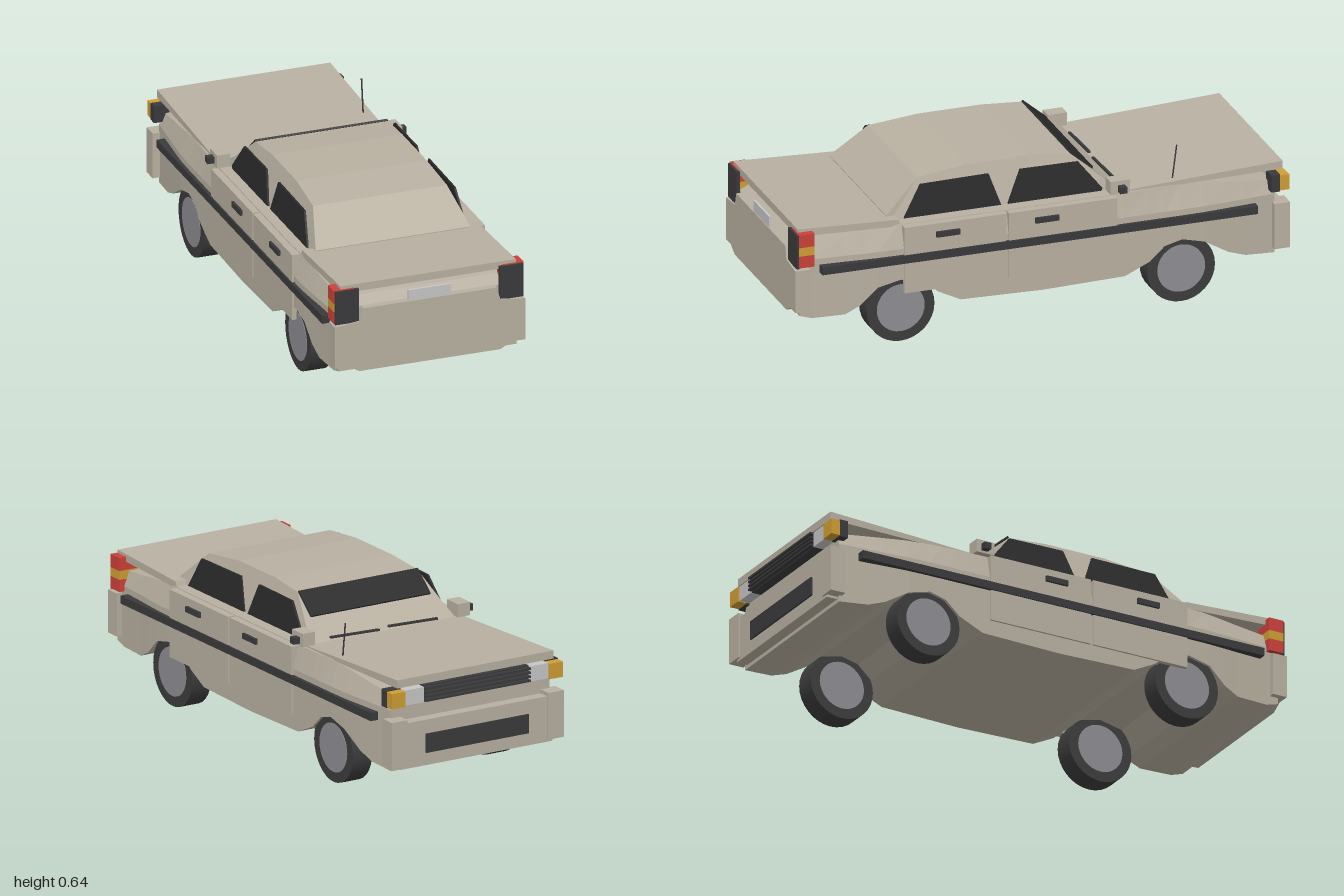
import * as THREE from 'three';

const mat = (name, color, extra = {}) => new THREE.MeshStandardMaterial({ name, color, ...extra });

export function createModel() {
  const car = new THREE.Group();
  car.name = 'sedan';
  const paint = mat('beige paint', 0xb8b0a1);
  const trim = mat('dark trim', 0x3a3a3c);
  const rubber = mat('tyre rubber', 0x3c3c3c);
  const glass = mat('dark glass', 0x2b2b2b);
  const metal = mat('hub metal', 0x8d8d93);
  const white = mat('pale lamp', 0xc6c6c6);
  const amber = mat('amber lamp', 0xcf9d33);
  const red = mat('red lamp', 0xcc413a);

  const add = (name, geo, material, x = 0, y = 0, z = 0) => {
    const m = new THREE.Mesh(geo, material);
    m.name = name;
    m.position.set(x, y, z);
    car.add(m);
    return m;
  };
  // box given by its limits on each axis
  const box = (name, material, [x0, x1], [y0, y1], [z0, z1]) =>
    add(name, new THREE.BoxGeometry(Math.abs(x1 - x0), y1 - y0, z1 - z0), material,
      (x0 + x1) / 2, (y0 + y1) / 2, (z0 + z1) / 2);
  const pair = (name, material, [x0, x1], y, z) => {
    for (const s of [1, -1]) box((s > 0 ? 'left ' : 'right ') + name, material, [s * x0, s * x1], y, z);
  };
  // solid skinned through convex rings, flat faced
  const loft = (rings) => {
    const p = [];
    const tri = (...v) => v.forEach((q) => p.push(...q));
    const n = rings[0].length;
    for (let i = 0; i + 1 < rings.length; i++) {
      for (let j = 0; j < n; j++) {
        const k = (j + 1) % n, a = rings[i], b = rings[i + 1];
        tri(a[j], b[j], b[k]);
        tri(a[j], b[k], a[k]);
      }
    }
    const f = rings[0], l = rings[rings.length - 1];
    for (let j = 1; j + 1 < n; j++) {
      tri(f[0], f[j], f[j + 1]);
      tri(l[0], l[j + 1], l[j]);
    }
    const g = new THREE.BufferGeometry();
    g.setAttribute('position', new THREE.Float32BufferAttribute(p, 3));
    g.computeVertexNormals();
    return g;
  };

  // lower body: z, bottom, top, half width below, half width at the shoulder
  const stations = [
    [0.97, 0.155, 0.41, 0.36, 0.335], [0.92, 0.14, 0.437, 0.362, 0.34], [0.79, 0.14, 0.45, 0.37, 0.345],
    [0.73, 0.17, 0.457, 0.375, 0.348], [0.66, 0.235, 0.465, 0.38, 0.35], [0.57, 0.255, 0.472, 0.382, 0.355],
    [0.48, 0.235, 0.472, 0.382, 0.36], [0.42, 0.185, 0.472, 0.382, 0.36], [0.33, 0.14, 0.472, 0.382, 0.36],
    [0, 0.132, 0.472, 0.382, 0.36], [-0.33, 0.14, 0.472, 0.382, 0.36], [-0.43, 0.185, 0.472, 0.382, 0.358],
    [-0.49, 0.24, 0.472, 0.382, 0.355], [-0.56, 0.258, 0.47, 0.382, 0.352], [-0.65, 0.235, 0.464, 0.38, 0.35],
    [-0.75, 0.175, 0.452, 0.372, 0.347], [-0.82, 0.15, 0.444, 0.366, 0.343], [-0.94, 0.14, 0.43, 0.355, 0.335],
  ];
  add('body', loft(stations.map(([z, b, t, w, s]) => {
    const m = Math.min(0.38, t - 0.04);
    return [[-w, b, z], [w, b, z], [w, m, z], [s, t, z], [-s, t, z], [-w, m, z]];
  })), paint);

  // cabin, narrowing towards the roof
  const roof = [[0.605, 0.495], [0.465, 0.615], [0.27, 0.637], [0.015, 0.638], [-0.15, 0.624], [-0.27, 0.52], [-0.335, 0.474]];
  add('cabin', loft(roof.map(([z, y]) => {
    const w = 0.32 - (y - 0.475) * 0.35;
    return [[-0.32, 0.45, z], [0.32, 0.45, z], [w, y, z], [-w, y, z]];
  })), paint);

  // wedge shaped lids, given by side profiles
  const lid = (name, w, pts) =>
    add(name, loft([w, -w].map((x) => pts.map(([z, y]) => [x, y, z]))), paint);
  lid('bootLid', 0.355, [[0.975, 0.478], [0.56, 0.463], [0.57, 0.49], [0.975, 0.508]]);
  lid('bonnet', 0.35, [[-0.33, 0.465], [-0.975, 0.476], [-0.975, 0.508], [-0.33, 0.476]]);

  // side windows stand just clear of the cabin
  const panes = {
    rearWindow: [[0.535, 0.477], [0.145, 0.477], [0.19, 0.604], [0.465, 0.6]],
    frontWindow: [[0.118, 0.477], [-0.258, 0.477], [-0.262, 0.487], [-0.17, 0.602], [0.064, 0.604]],
  };
  for (const [name, pts] of Object.entries(panes)) {
    for (const s of [1, -1]) {
      const order = s > 0 ? pts : [...pts].reverse();
      add((s > 0 ? 'left ' : 'right ') + name, loft([0.322, 0.314].map((x) =>
        order.map(([z, y]) => [s * (x - (y - 0.477) * 0.12), y, z]))), glass);
    }
  }
  const shield = add('windscreen', new THREE.BoxGeometry(0.535, 0.008, 0.118), glass, 0, 0.59, -0.197);
  shield.rotation.x = -0.705;

  // doors, handles and rubbing strips
  pair('rearDoor', paint, [0.35, 0.39], [0.2, 0.468], [0.148, 0.558]);
  pair('frontDoor', paint, [0.35, 0.39], [0.2, 0.468], [-0.298, 0.138]);
  for (const z of [0.385, -0.013]) pair('doorHandle', trim, [0.385, 0.4], [0.414, 0.436], [z - 0.047, z + 0.047]);
  pair('sideStrip', trim, [0.362, 0.396], [0.324, 0.356], [-0.86, 0.89]);

  // wheels
  for (const z of [0.567, -0.56]) {
    for (const s of [1, -1]) {
      const tyre = add('tyre', new THREE.CylinderGeometry(0.136, 0.136, 0.086, 32), rubber, s * 0.327, 0.136, z);
      const hub = add('hub', new THREE.CylinderGeometry(0.096, 0.096, 0.09, 32), metal, s * 0.327, 0.136, z);
      tyre.rotation.z = hub.rotation.z = Math.PI / 2;
    }
  }

  // rear panel and bumper corners
  const panel = new THREE.Shape([
    [-0.385, 0.18], [-0.33, 0.18], [-0.285, 0.155], [0.285, 0.155], [0.33, 0.18], [0.385, 0.18],
    [0.385, 0.35], [0.285, 0.36], [0.27, 0.412], [-0.27, 0.412], [-0.285, 0.36], [-0.385, 0.35],
  ].map(([x, y]) => new THREE.Vector2(x, y)));
  add('rearBumper', new THREE.ExtrudeGeometry(panel, { depth: 0.06, bevelEnabled: false }), paint, 0, 0, 0.935);
  box('numberPlate', white, [-0.086, 0.086], [0.394, 0.456], [0.983, 0.992]);

  // tail lamps in three bands with a dark rear face
  for (const [m, y0, y1] of [[red, 0.36, 0.408], [amber, 0.408, 0.443], [red, 0.443, 0.495]])
    pair('tailLamp', m, [0.3, 0.384], [y0, y1], [0.918, 0.98]);
  pair('tailLampBack', trim, [0.285, 0.38], [0.356, 0.492], [0.975, 0.988]);

  // front bumper with raised corners and lower intake
  box('frontBumper', paint, [-0.34, 0.34], [0.155, 0.335], [-0.985, -0.93]);
  pair('frontBumperCorner', paint, [0.315, 0.385], [0.165, 0.35], [-0.993, -0.93]);
  box('lowerIntake', trim, [-0.23, 0.23], [0.205, 0.28], [-0.992, -0.984]);

  // grille with slats, headlamps and indicators
  box('grille', trim, [-0.235, 0.235], [0.405, 0.47], [-0.98, -0.93]);
  for (let i = 0; i < 4; i++)
    box('grilleSlat', trim, [-0.235, 0.235], [0.409 + i * 0.016, 0.417 + i * 0.016], [-0.997, -0.975]);
  pair('headlamp', white, [0.235, 0.322], [0.405, 0.465], [-0.983, -0.93]);
  pair('indicator', amber, [0.322, 0.383], [0.402, 0.463], [-0.99, -0.953]);
  pair('indicatorHousing', trim, [0.322, 0.384], [0.398, 0.467], [-0.953, -0.918]);

  // door mirrors
  pair('mirror', paint, [0.32, 0.375], [0.478, 0.53], [-0.352, -0.275]);
  pair('mirrorKnob', trim, [0.375, 0.402], [0.487, 0.513], [-0.332, -0.304]);

  // wipers and aerial
  for (const x of [-0.13, 0.13]) {
    const wiper = box('wiper', trim, [x - 0.11, x + 0.11], [0.482, 0.49], [-0.338, -0.328]);
    wiper.rotation.z = 0.03;
  }
  const aerial = add('aerial', new THREE.CylinderGeometry(0.003, 0.003, 0.14, 6), trim, 0.318, 0.55, -0.552);
  aerial.rotation.x = -0.13;

  return car;
}
